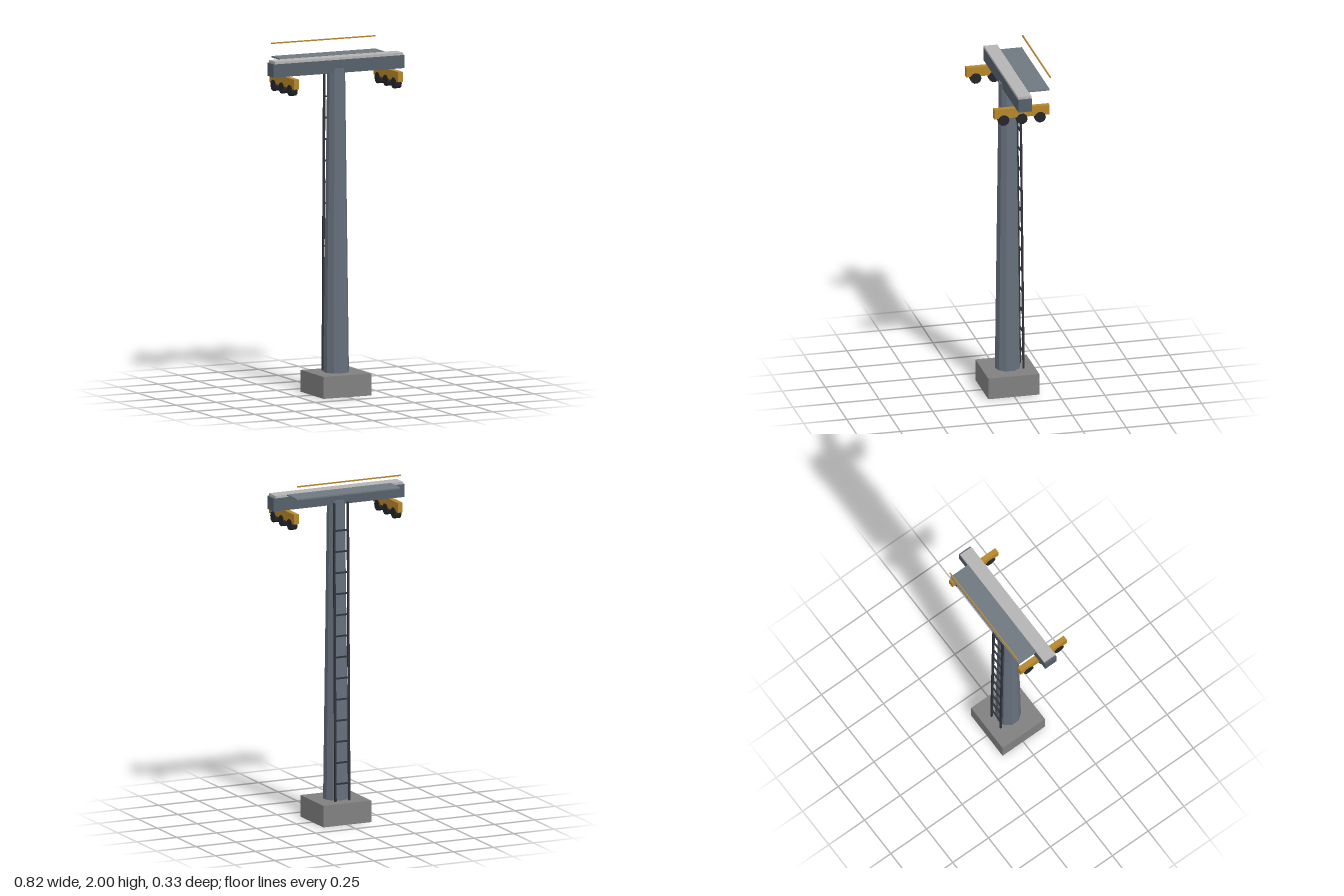
import * as THREE from 'three';

const material = (color) => new THREE.MeshStandardMaterial({ color, flatShading: true });

export function createModel() {
  const model = new THREE.Group();
  model.name = 'liftTower';

  const concrete = material(0x808080);
  const steel = material(0x66707c);
  const beamSteel = material(0x56606c);
  const capGrey = material(0xb4b4b4);
  const deckGrey = material(0x707880);
  const yellow = material(0xb8862b);
  const black = material(0x24262a);
  const ladderSteel = material(0x30343a);

  const zc = 0.004; // centre line of the tower

  const add = (name, geometry, mat, x, y, z, parent = model) => {
    const mesh = new THREE.Mesh(geometry, mat);
    mesh.name = name;
    mesh.position.set(x, y, z);
    parent.add(mesh);
    return mesh;
  };
  const box = (w, h, d) => new THREE.BoxGeometry(w, h, d);

  // Foundation and tapered ten-sided mast
  add('foundation', box(0.3, 0.125, 0.296), concrete, 0, 0.0625, zc);
  add('mast', new THREE.CylinderGeometry(0.051, 0.073, 1.735, 10), steel, 0, 0.9925, zc);

  // Crossarm with its cover plate
  add('crossarm', box(0.822, 0.075, 0.079), beamSteel, 0, 1.8725, 0.0025);
  add('crossarmCover', box(0.8, 0.014, 0.079), capGrey, 0, 1.917, 0.0025);

  // Service deck behind the crossarm, and its handrail
  add('serviceDeck', box(0.65, 0.008, 0.125), deckGrey, 0, 1.921, -0.0985);
  add('handrail', box(0.65, 0.007, 0.007), yellow, 0, 1.9965, -0.1645);

  // Wheel assemblies under both ends of the crossarm
  const wheelGeometry = new THREE.CylinderGeometry(0.032, 0.032, 0.038, 10).rotateZ(Math.PI / 2);
  for (const side of [-1, 1]) {
    const assembly = new THREE.Group();
    assembly.name = side > 0 ? 'leftWheelAssembly' : 'rightWheelAssembly';
    assembly.position.set(side * 0.326, 0, zc);
    model.add(assembly);
    add('wheelBeam', box(0.03, 0.057, 0.322), yellow, 0, 1.8065, 0, assembly);
    for (const i of [-1, 0, 1]) add('wheel', wheelGeometry, black, 0, 1.767, i * 0.106, assembly);
  }

  // Ladder leaning along the back of the mast
  const ladder = new THREE.Group();
  ladder.name = 'ladder';
  model.add(ladder);
  const bottom = new THREE.Vector3(0, 0.125, -0.079);
  const top = new THREE.Vector3(0, 1.85, -0.061);
  const rail = top.clone().sub(bottom);
  for (const x of [-0.043, 0.043]) {
    const mesh = add('ladderRail', box(0.011, rail.length(), 0.011), ladderSteel,
      x, (bottom.y + top.y) / 2, (bottom.z + top.z) / 2, ladder);
    mesh.rotation.x = Math.atan2(rail.z, rail.y);
  }
  const rungGeometry = box(0.086, 0.009, 0.009);
  for (let i = 0; i < 13; i++) {
    const y = 0.225 + i * 0.122;
    const z = bottom.z + (rail.z * (y - bottom.y)) / rail.y;
    add('ladderRung', rungGeometry, ladderSteel, 0, y, z, ladder);
  }

  return model;
}
